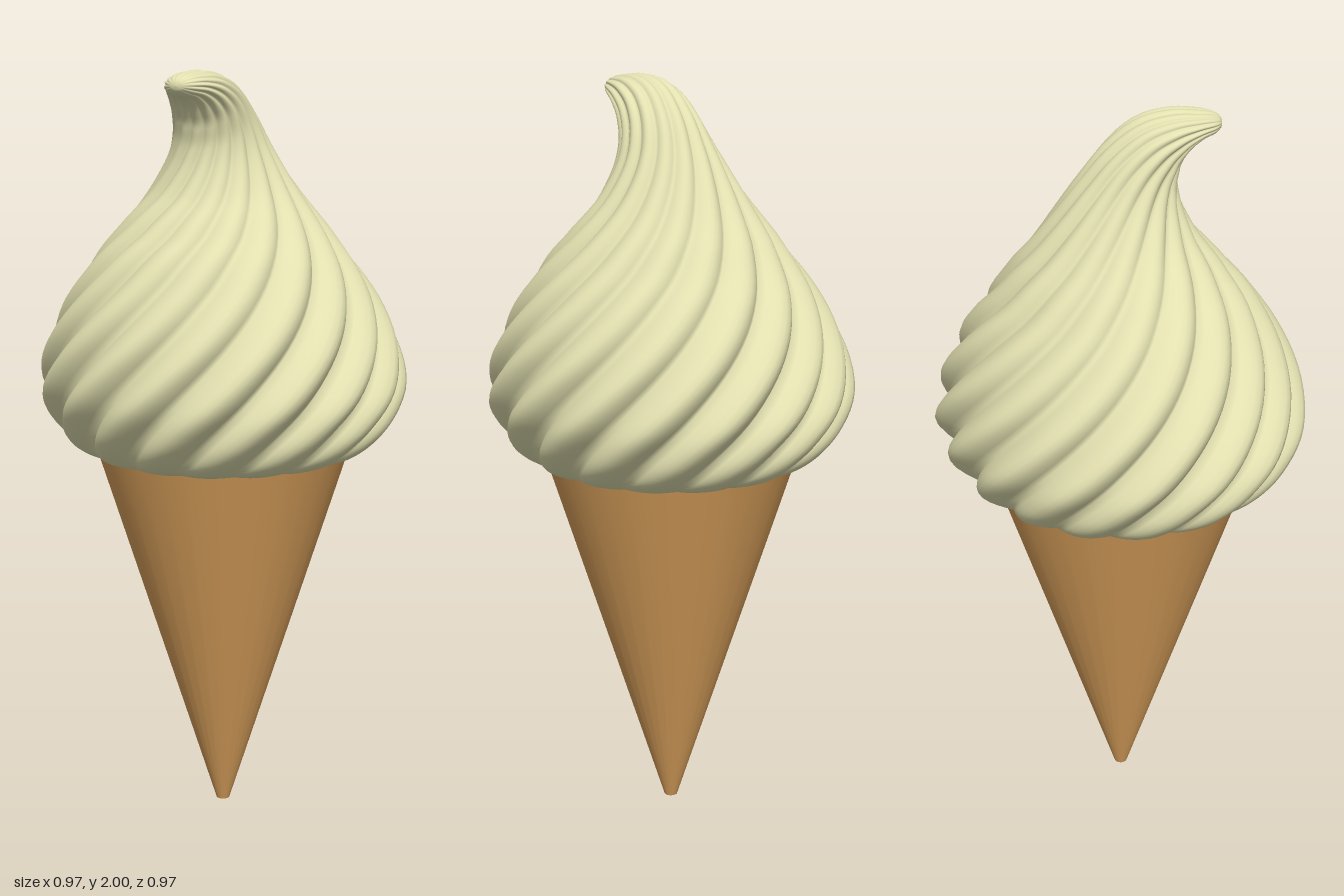
import * as THREE from 'three';

const LOBES = 16, AROUND = LOBES * 8, ROWS = 72;

// Stations up the swirl: centre y, centre z, half width in x, half depth across the bend, groove depth
const STATIONS = [
  [1.0, 0, 0.32, 0.32, 0.03],
  [1.02, 0, 0.375, 0.375, 0.05],
  [1.06, 0, 0.425, 0.425, 0.08],
  [1.12, 0, 0.465, 0.465, 0.1],
  [1.2, 0, 0.487, 0.487, 0.11],
  [1.3, 0, 0.468, 0.468, 0.11],
  [1.4, 0, 0.422, 0.422, 0.1],
  [1.5, 0, 0.357, 0.357, 0.1],
  [1.6, 0, 0.277, 0.277, 0.1],
  [1.7, 0.005, 0.195, 0.195, 0.1],
  [1.79, 0.02, 0.14, 0.14, 0.1],
  [1.86, 0.045, 0.113, 0.108, 0.1],
  [1.915, 0.085, 0.098, 0.085, 0.1],
  [1.948, 0.135, 0.085, 0.06, 0.1],
  [1.963, 0.185, 0.068, 0.038, 0.1],
  [1.966, 0.225, 0.045, 0.026, 0.08],
  [1.966, 0.243, 0.022, 0.014, 0.04],
  [1.966, 0.248, 0.002, 0.002, 0],
];

// Ribbed, twisted loft whose sections follow a spine curling forward at the tip
function swirlGeometry() {
  const spine = new THREE.CatmullRomCurve3(STATIONS.map(([y, z]) => new THREE.Vector3(0, y, z)), false, 'catmullrom');
  const size = new THREE.CatmullRomCurve3(STATIONS.map(s => new THREE.Vector3(s[2], s[3], s[4])), false, 'catmullrom');
  const pos = [], index = [];
  for (let i = 0; i <= ROWS; i++) {
    const c = spine.getPoint(i / ROWS), t = spine.getTangent(i / ROWS), s = size.getPoint(i / ROWS);
    const twist = 2.2 * (c.y - 1.2);
    for (let j = 0; j < AROUND; j++) {
      const a = (j / AROUND) * Math.PI * 2;
      // Rounded lobes with narrow valleys between them
      const r = 1 - s.z * (1 - Math.abs(Math.cos(a * LOBES / 2)));
      const x = s.x * r * Math.sin(a + twist), n = s.y * r * Math.cos(a + twist);
      pos.push(x, c.y - t.z * n, c.z + t.y * n);
    }
  }
  for (let i = 0; i < ROWS; i++) {
    for (let j = 0; j < AROUND; j++) {
      const k = (j + 1) % AROUND;
      const p = i * AROUND + j, q = i * AROUND + k;
      index.push(p, q, q + AROUND, p, q + AROUND, p + AROUND);
    }
  }
  // Close the underside and the tip
  const bottom = pos.length / 3, last = ROWS * AROUND;
  pos.push(0, 1.0, 0, 0, 1.966, 0.248);
  for (let j = 0; j < AROUND; j++) {
    const k = (j + 1) % AROUND;
    index.push(bottom, k, j, bottom + 1, last + j, last + k);
  }
  const g = new THREE.BufferGeometry();
  g.setAttribute('position', new THREE.Float32BufferAttribute(pos, 3));
  g.setIndex(index);
  g.computeVertexNormals();
  return g;
}

export function createModel() {
  const model = new THREE.Group();
  model.name = 'iceCreamCone';

  // Tapered wafer with a small flat foot
  const cone = new THREE.Mesh(
    new THREE.CylinderGeometry(0.337, 0.018, 1.01, 32),
    new THREE.MeshStandardMaterial({ color: 0xd9a05b })
  );
  cone.name = 'cone';
  cone.position.y = 0.505;

  // Soft ice cream
  const swirl = new THREE.Mesh(swirlGeometry(), new THREE.MeshStandardMaterial({ color: 0xe2e0b0 }));
  swirl.name = 'creamSwirl';

  model.add(cone, swirl);
  return model;
}
